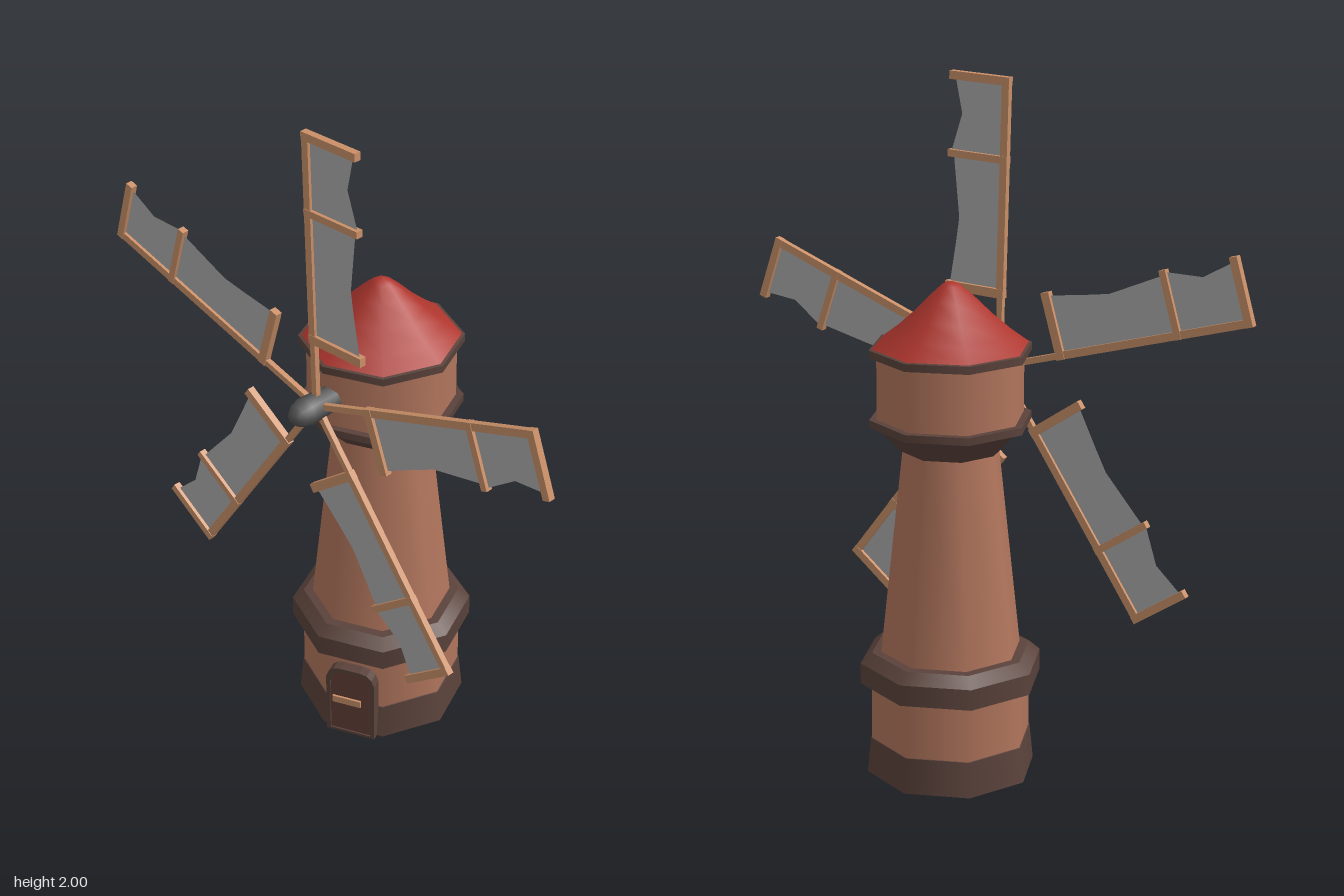
import * as THREE from 'three';

const mat = (name, color, side = THREE.FrontSide) => {
  const m = new THREE.MeshStandardMaterial({ color, side });
  m.name = name;
  return m;
};

export function createModel() {
  const brick = mat('terracotta', 0xb2765d);
  const dark = mat('dark brown', 0x5a423b);
  const red = mat('roof red', 0xae362e);
  const wood = mat('light wood', 0xcb9068);
  const cloth = mat('sail grey', 0xacacac, THREE.DoubleSide);
  const iron = mat('iron grey', 0x555555);
  const doorWood = mat('door brown', 0x643f38);

  const model = new THREE.Group();
  model.name = 'windmill';
  const add = (parent, name, geometry, material, x = 0, y = 0, z = 0) => {
    const mesh = new THREE.Mesh(geometry, material);
    mesh.name = name;
    mesh.position.set(x, y, z);
    parent.add(mesh);
    return mesh;
  };
  const lathe = (points) =>
    new THREE.LatheGeometry(points.map(([r, y]) => new THREE.Vector2(r, y)), 8);

  // Octagonal tower: each straight band is its own lathe so edges stay crisp
  const tower = new THREE.Group();
  tower.name = 'tower';
  tower.position.set(-0.025, 0, -0.043);
  model.add(tower);
  const bands = (name, material, profile) => {
    const group = new THREE.Group();
    group.name = name;
    for (let i = 1; i < profile.length; i++) {
      add(group, name + 'Band', lathe([profile[i - 1], profile[i]]), material);
    }
    tower.add(group);
  };
  bands('plinth', dark, [[0, 0], [0.249, 0], [0.238, 0.105], [0.23, 0.107]]);
  bands('lowerWall', brick, [[0.235, 0.105], [0.235, 0.28]]);
  bands('lowerLedge', dark, [[0.23, 0.278], [0.267, 0.278], [0.267, 0.34], [0.233, 0.37], [0.19, 0.372]]);
  bands('shaft', brick, [[0.206, 0.37], [0.14, 0.975]]);
  bands('balcony', dark, [[0.13, 0.972], [0.143, 0.972], [0.213, 1.045], [0.235, 1.048], [0.235, 1.07], [0.2, 1.07]]);
  bands('capWall', brick, [[0.213, 1.07], [0.213, 1.25]]);
  bands('eaves', dark, [[0.2, 1.25], [0.235, 1.25], [0.235, 1.272], [0.215, 1.276]]);
  add(tower, 'roof', lathe([
    [0.226, 1.274], [0.175, 1.312], [0.12, 1.36], [0.07, 1.41], [0.03, 1.446], [0.015, 1.455], [0, 1.458],
  ]), red);

  // Arched door on the facet to the front left
  const arch = (Type, half, top, bottom) => {
    const s = new Type();
    s.moveTo(-half, bottom);
    s.lineTo(half, bottom);
    s.lineTo(half, top - 0.04);
    s.quadraticCurveTo(half * 0.9, top, half * 0.4, top);
    s.lineTo(-half * 0.4, top);
    s.quadraticCurveTo(-half * 0.9, top, -half, top - 0.04);
    s.closePath();
    return s;
  };
  const extrude = (shape, depth) =>
    new THREE.ExtrudeGeometry(shape, { depth, bevelEnabled: false, curveSegments: 3 });
  const door = new THREE.Group();
  door.name = 'door';
  door.rotation.y = Math.PI / 8;
  tower.add(door);
  const frame = arch(THREE.Shape, 0.077, 0.242, 0);
  frame.holes.push(arch(THREE.Path, 0.064, 0.228, 0.008));
  add(door, 'doorFrame', extrude(frame, 0.055), dark, 0, 0, 0.197);
  add(door, 'doorPanel', extrude(arch(THREE.Shape, 0.066, 0.23, 0.006), 0.05), doorWood, 0, 0, 0.197);
  add(door, 'doorLatch', new THREE.BoxGeometry(0.09, 0.022, 0.008), wood, -0.012, 0.122, 0.25);

  // Rotor with five sails
  const rotor = new THREE.Group();
  rotor.name = 'rotor';
  rotor.position.set(-0.025, 1.155, 0.216);
  model.add(rotor);
  const hub = add(rotor, 'hub', lathe([
    [0.036, -0.08], [0.04, 0.0], [0.042, 0.045], [0.034, 0.075], [0.018, 0.093], [0, 0.098],
  ]), iron);
  hub.rotation.x = Math.PI / 2;

  // Ragged cloth outline, spar side at x = 0
  const clothShape = new THREE.Shape([
    [0, 0.217], [0.176, 0.217], [0.158, 0.34], [0.148, 0.42], [0.17, 0.595],
    [0.178, 0.615], [0.146, 0.722], [0.172, 0.83], [0, 0.83],
  ].map(([x, y]) => new THREE.Vector2(x, y)));
  const clothGeometry = new THREE.ShapeGeometry(clothShape);

  for (let i = 0; i < 5; i++) {
    const sail = new THREE.Group();
    sail.name = 'sail';
    sail.rotation.z = THREE.MathUtils.degToRad(1.5 + 72 * i);
    rotor.add(sail);
    add(sail, 'sailArm', new THREE.BoxGeometry(0.018, 0.25, 0.016), wood, 0, 0.125, 0);
    add(sail, 'sailSpar', new THREE.BoxGeometry(0.023, 0.625, 0.018), wood, 0, 0.5295, 0);
    for (const [y, h] of [[0.217, 0.027], [0.606, 0.021], [0.83, 0.024]]) {
      add(sail, 'sailCrossbar', new THREE.BoxGeometry(0.198, h, 0.021), wood, 0.087, y, 0);
    }
    add(sail, 'sailCloth', clothGeometry, cloth);
  }
  return model;
}
